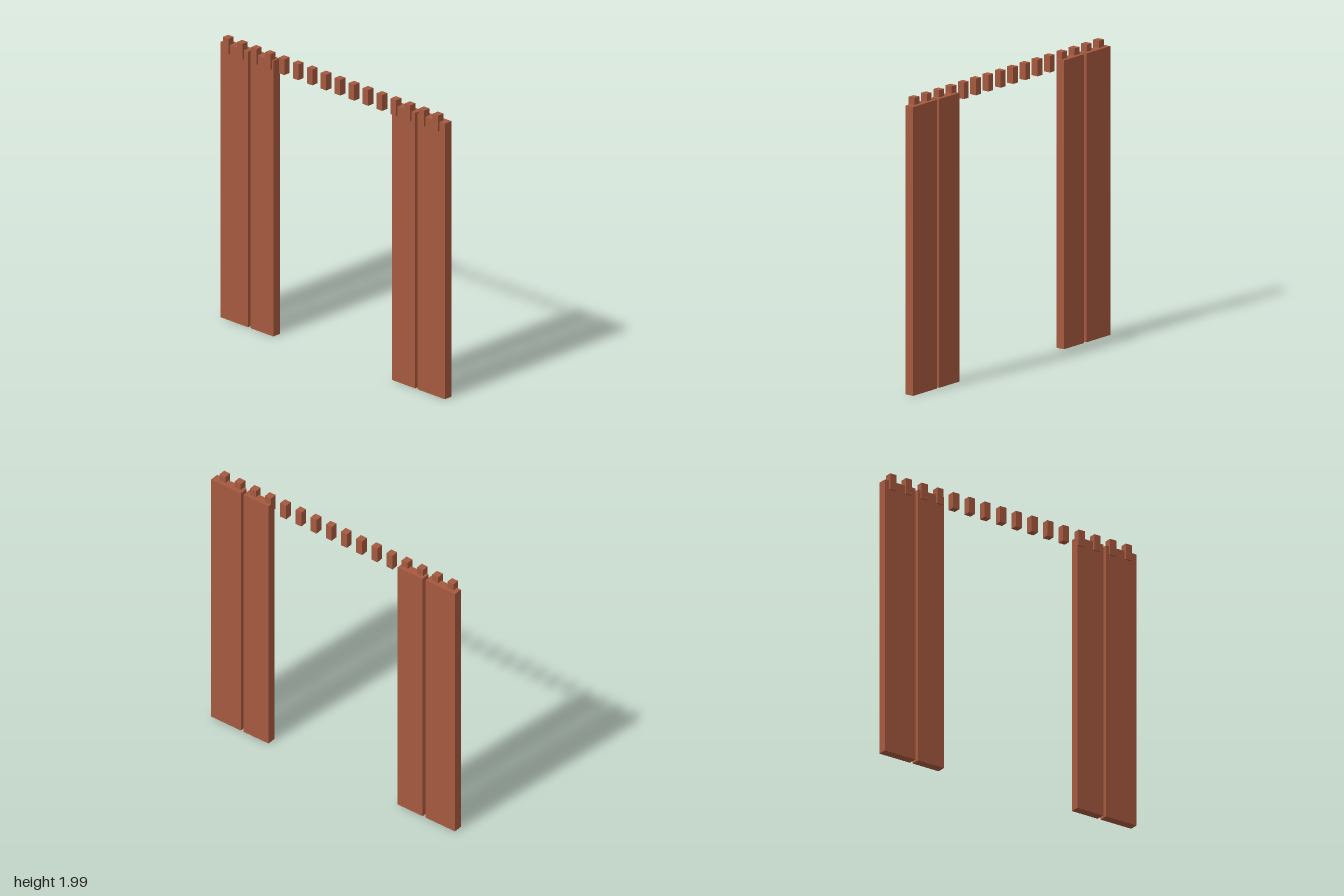
import * as THREE from 'three';

export function createModel() {
  const model = new THREE.Group();
  const brick = new THREE.MeshStandardMaterial({ color: 0xa5593f });
  brick.name = 'brick red';

  // Box given by its minimum and maximum corners
  function addBox(name, [x0, y0, z0], [x1, y1, z1]) {
    const mesh = new THREE.Mesh(new THREE.BoxGeometry(x1 - x0, y1 - y0, z1 - z0), brick);
    mesh.position.set((x0 + x1) / 2, (y0 + y1) / 2, (z0 + z1) / 2);
    mesh.name = name;
    model.add(mesh);
  }

  // Two tall panels on each side, separated by a narrow gap
  const panels = [['innerPanel', 0.53, 0.735], ['outerPanel', 0.757, 1]];
  for (const [name, near, far] of panels) {
    addBox(name + 'Left', [near, 0, -0.038], [far, 1.94, 0.024]);
    addBox(name + 'Right', [-far, 0, -0.038], [-near, 1.94, 0.024]);
  }

  // Evenly spaced row of small blocks along the top
  const count = 16, first = -0.942, spacing = 0.1247, half = 0.0245;
  for (let i = 0; i < count; i++) {
    const x = first + i * spacing;
    addBox('dentilBlock' + (i + 1), [x - half, 1.877, -0.012], [x + half, 1.988, 0.038]);
  }

  return model;
}
